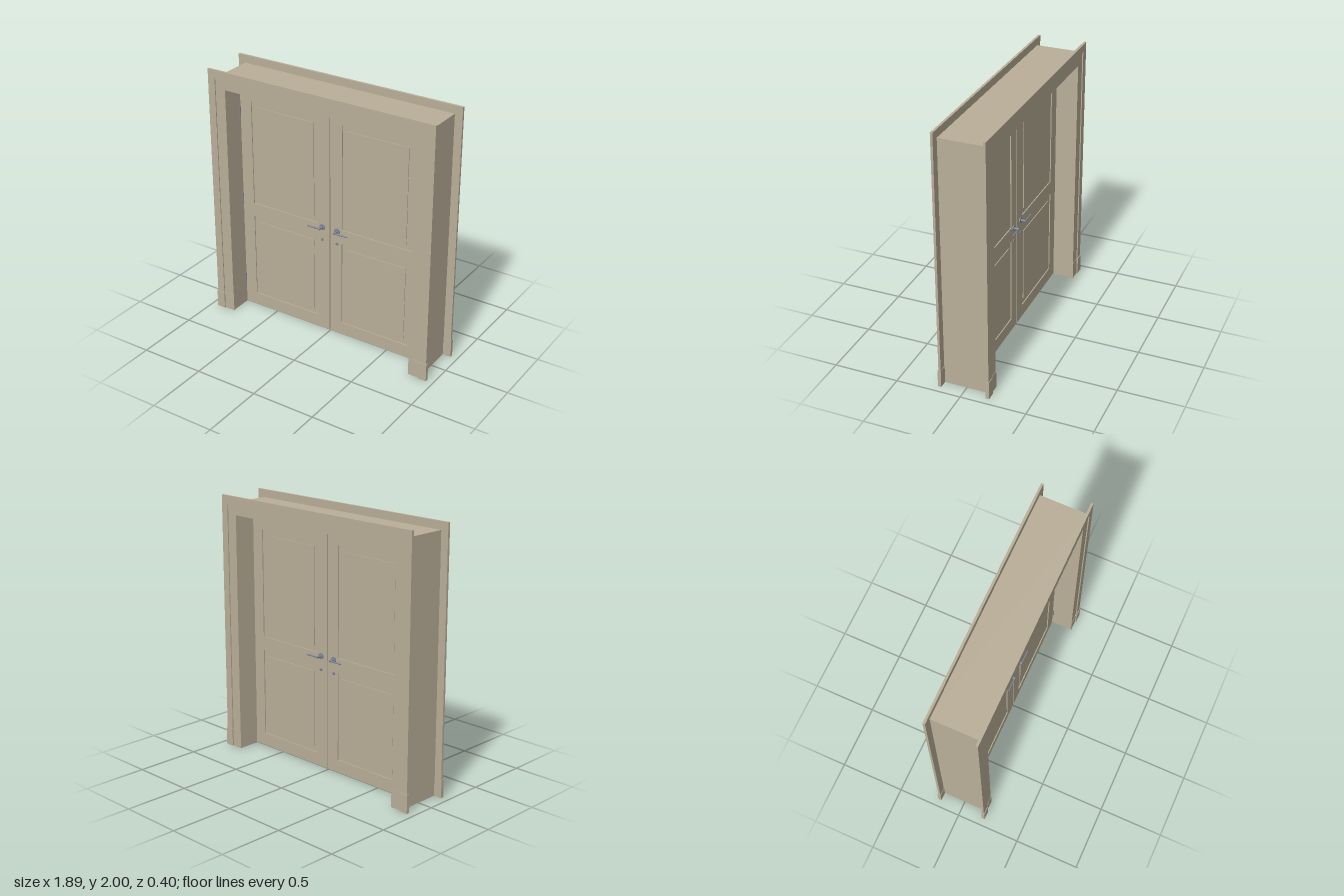
import * as THREE from 'three';

const wood = new THREE.MeshStandardMaterial({ color: 0xb9ae98 });
const metal = new THREE.MeshStandardMaterial({ color: 0x7d8794 });

function add(parent, name, geometry, material, x = 0, y = 0, z = 0) {
  const mesh = new THREE.Mesh(geometry, material);
  mesh.name = name;
  mesh.position.set(x, y, z);
  parent.add(mesh);
  return mesh;
}

const box = (w, h, d) => new THREE.BoxGeometry(w, h, d);

// Upside-down U around an opening, extruded from z0 to z1
function portal(outX, outY, inX, inY, z0, z1) {
  const s = new THREE.Shape([
    [-outX, 0], [-inX, 0], [-inX, inY], [inX, inY], [inX, 0], [outX, 0], [outX, outY], [-outX, outY],
  ].map(([x, y]) => new THREE.Vector2(x, y)));
  return new THREE.ExtrudeGeometry(s, { depth: z1 - z0, bevelEnabled: false }).translate(0, 0, z0);
}

function rect(Type, x0, x1, y0, y1) {
  return new Type([[x0, y0], [x1, y0], [x1, y1], [x0, y1]].map(([x, y]) => new THREE.Vector2(x, y)));
}

const HALF = 0.02; // half the leaf thickness
const PANELS = [[0.905, 1.745], [0.11, 0.795]];

// Lever, rose and key escutcheon for one face of a leaf
function makeHandle() {
  const g = new THREE.Group();
  g.name = 'handle';
  const disc = (r, d) => new THREE.CylinderGeometry(r, r, d, 24).rotateX(Math.PI / 2);
  add(g, 'rose', disc(0.023, 0.008), metal, 0.065, 0.885, HALF + 0.004);
  add(g, 'spindle', disc(0.009, 0.045), metal, 0.065, 0.885, HALF + 0.0225);
  const lever = new THREE.CapsuleGeometry(0.006, 0.105, 4, 10).rotateZ(Math.PI / 2);
  add(g, 'lever', lever, metal, 0.116, 0.885, HALF + 0.041);
  add(g, 'keyEscutcheon', disc(0.011, 0.007), metal, 0.065, 0.78, HALF + 0.0035);
  return g;
}

// One leaf on the +x side, same on both faces
function makeLeaf() {
  const g = new THREE.Group();
  g.name = 'doorLeaf';
  const frame = rect(THREE.Shape, 0.004, 0.788, 0.01, 1.85);
  for (const [y0, y1] of PANELS) frame.holes.push(rect(THREE.Path, 0.105, 0.69, y0, y1));
  const frameGeo = new THREE.ExtrudeGeometry(frame, { depth: 2 * HALF, bevelEnabled: false });
  add(g, 'stilesAndRails', frameGeo, wood, 0, 0, -HALF);
  for (const [y0, y1] of PANELS) {
    const y = (y0 + y1) / 2, h = y1 - y0;
    add(g, 'panelField', box(0.585, h, 0.024), wood, 0.3975, y, 0);
    add(g, 'raisedPanel', box(0.505, h - 0.085, 0.036), wood, 0.3935, y, 0);
  }
  const front = makeHandle();
  const back = makeHandle();
  back.scale.z = -1;
  g.add(front, back);
  // Hinges on the front face only
  for (const y of [0.22, 0.925, 1.635]) {
    add(g, 'hinge', new THREE.CylinderGeometry(0.006, 0.006, 0.09, 12), metal, 0.79, y, HALF + 0.004);
  }
  return g;
}

export function createModel() {
  const model = new THREE.Group();
  model.name = 'doubleDoor';

  // Deep lining of the wall opening, with a thin seal behind the leaf edges
  add(model, 'jamb', portal(0.88, 1.94, 0.795, 1.86, -0.178, 0.178), wood);
  add(model, 'seal', portal(0.8, 1.865, 0.78, 1.845, -0.008, 0.008), wood);

  // Stepped casing and plinth blocks on both sides of the wall
  for (const s of [1, -1]) {
    const span = (a, b) => (s > 0 ? [a, b] : [-b, -a]);
    add(model, 'innerCasing', portal(0.882, 1.942, 0.795, 1.86, ...span(0.176, 0.186)), wood);
    add(model, 'outerCasing', portal(0.94, 2, 0.88, 1.94, ...span(0.176, 0.194)), wood);
    for (const m of [1, -1]) {
      add(model, 'plinth', box(0.068, 0.14, 0.026), wood, m * 0.911, 0.07, s * 0.186);
      add(model, 'plinthReturn', box(0.09, 0.14, 0.014), wood, m * 0.836, 0.07, s * 0.182);
    }
  }

  const left = makeLeaf();
  const right = makeLeaf();
  right.scale.x = -1;
  model.add(left, right);
  return model;
}
